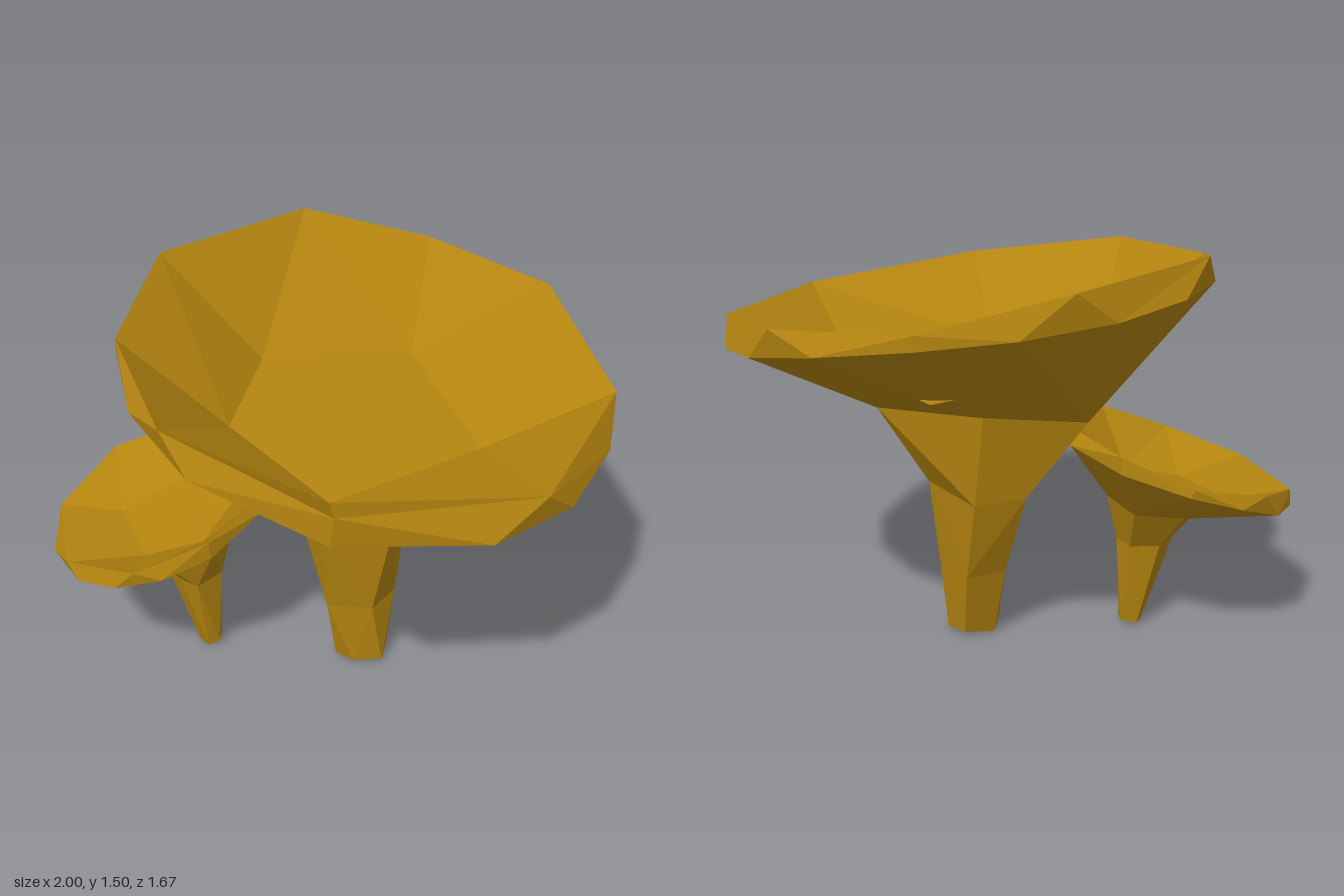
import * as THREE from 'three';

// Ring on a circle seen from above: [degrees from +z towards +x, height] pairs
const round = (cx, cz, r, spots) => spots.map(([deg, y]) => {
  const a = THREE.MathUtils.degToRad(deg);
  return [cx + r * Math.sin(a), y, cz + r * Math.cos(a)];
});

const centre = (ring) => [0, 1, 2].map((k) => ring.reduce((s, p) => s + p[k], 0) / ring.length);

// Sort a ring counterclockwise (from above) and note the angle of each corner
function ordered(ring) {
  const c = centre(ring);
  return ring.map((p) => ({ p, a: Math.atan2(p[0] - c[0], p[2] - c[2]) })).sort((m, n) => m.a - n.a);
}

// Join two rings, which may have different corner counts, with a band of triangles
function stitch(out, lower, upper) {
  const A = ordered(lower), B = ordered(upper);
  const angle = (R, i) => R[i % R.length].a + 2 * Math.PI * Math.floor(i / R.length);
  const middle = (R, i) => (i < R.length ? (angle(R, i) + angle(R, i + 1)) / 2 : Infinity);
  let i = 0, j = 0;
  while (i < A.length || j < B.length) {
    const a = A[i % A.length].p, b = B[j % B.length].p;
    if (middle(A, i) <= middle(B, j)) out.push(a, A[++i % A.length].p, b);
    else out.push(a, B[++j % B.length].p, b);
  }
}

// Close a ring with a fan
function cap(out, ring, faceUp) {
  const c = centre(ring), R = ordered(ring).map((v) => v.p);
  R.forEach((p, i) => {
    const q = R[(i + 1) % R.length];
    if (faceUp) out.push(p, q, c);
    else out.push(q, p, c);
  });
}

// Faceted mesh through a stack of rings
function loft(name, rings, material, closeBottom, closeTop) {
  const out = [];
  if (closeBottom) cap(out, rings[0], false);
  for (let i = 0; i + 1 < rings.length; i++) stitch(out, rings[i], rings[i + 1]);
  if (closeTop) cap(out, rings[rings.length - 1], true);
  const geometry = new THREE.BufferGeometry();
  geometry.setAttribute('position', new THREE.Float32BufferAttribute(out.flat(), 3));
  geometry.computeVertexNormals();
  const mesh = new THREE.Mesh(geometry, material);
  mesh.name = name;
  return mesh;
}

function mushroom(name, material, { stem, underRim, crest, bowl }) {
  const group = new THREE.Group();
  group.name = name;
  const neck = stem[stem.length - 1];
  group.add(loft('stem', stem, material, true, false));
  group.add(loft('cap', [neck, underRim, crest, bowl], material, false, true));
  return group;
}

export function createModel() {
  const ochre = new THREE.MeshStandardMaterial({ color: 0xb3840f });
  ochre.name = 'ochre';
  const model = new THREE.Group();
  model.name = 'mushrooms';

  // Tall mushroom with a wide tilted funnel cap
  model.add(mushroom('largeMushroom', ochre, {
    stem: [
      [[0.06, 0.01, 0.03], [0.13, 0.01, 0.07], [0.24, 0.01, 0.05], [0.25, 0.01, -0.03], [0.19, 0.02, -0.1], [0.08, 0, -0.06]],
      [[0.03, 0.28, 0.075], [0.2, 0.28, 0.075], [0.275, 0.28, -0.05], [0.18, 0.28, -0.17], [0.04, 0.28, -0.12]],
      [[0.01, 0.69, 0.14], [0.27, 0.69, 0.12], [0.31, 0.63, -0.09], [0.15, 0.6, -0.26], [-0.03, 0.62, -0.24], [-0.07, 0.62, 0.02]],
      [[-0.02, 0.925, 0.25], [0.4, 0.905, 0.22], [0.48, 0.94, -0.17], [0.12, 0.95, -0.32], [-0.23, 0.94, -0.35], [-0.21, 0.95, 0.08]],
    ],
    underRim: round(0.155, 0, 0.84, [
      [-3, 1.14], [32, 1.09], [55, 1.085], [78, 1.11], [101, 1.155], [123, 1.215], [145, 1.285], [168, 1.34],
      [189, 1.37], [211, 1.39], [233, 1.4], [256, 1.38], [278, 1.35], [300, 1.305], [324, 1.235],
    ]),
    crest: round(0.155, 0, 0.84, [
      [-2, 1.245], [46, 1.19], [90, 1.23], [132, 1.34], [168, 1.39], [201, 1.5], [246, 1.5], [278, 1.4], [315, 1.355],
    ]),
    bowl: [[0.29, 1.06, -0.49], [-0.25, 1.11, -0.31], [-0.31, 1.07, 0.1], [0.07, 1.0, 0.42], [0.56, 1.0, 0.04]],
  }));

  // Short mushroom leaning away at its side
  model.add(mushroom('smallMushroom', ochre, {
    stem: [
      [[-0.48, 0.005, 0.0], [-0.44, 0.01, 0.04], [-0.4, 0.02, 0.02], [-0.4, 0.02, -0.03], [-0.46, 0.01, -0.04]],
      [[-0.59, 0.35, 0], [-0.53, 0.36, 0.07], [-0.46, 0.34, 0.09], [-0.38, 0.35, 0], [-0.42, 0.35, -0.08], [-0.53, 0.35, -0.08]],
      [[-0.68, 0.455, 0], [-0.55, 0.47, 0.15], [-0.39, 0.515, 0.12], [-0.34, 0.53, -0.02], [-0.42, 0.52, -0.18], [-0.6, 0.49, -0.15]],
    ],
    underRim: round(-0.575, -0.02, 0.43, [
      [8, 0.615], [32, 0.68], [62, 0.77], [87, 0.81], [115, 0.8], [148, 0.76], [179, 0.7],
      [205, 0.635], [231, 0.56], [259, 0.515], [291, 0.505], [322, 0.52], [345, 0.56],
    ]),
    crest: round(-0.575, -0.02, 0.43, [
      [-5, 0.64], [31, 0.75], [71, 0.83], [102, 0.86], [147, 0.825], [181, 0.73], [219, 0.66], [263, 0.565], [313, 0.565],
    ]),
    bowl: [[-0.77, 0.54, -0.09], [-0.55, 0.6, -0.25], [-0.36, 0.6, -0.06], [-0.42, 0.58, 0.12], [-0.63, 0.53, 0.16]],
  }));

  return model;
}
